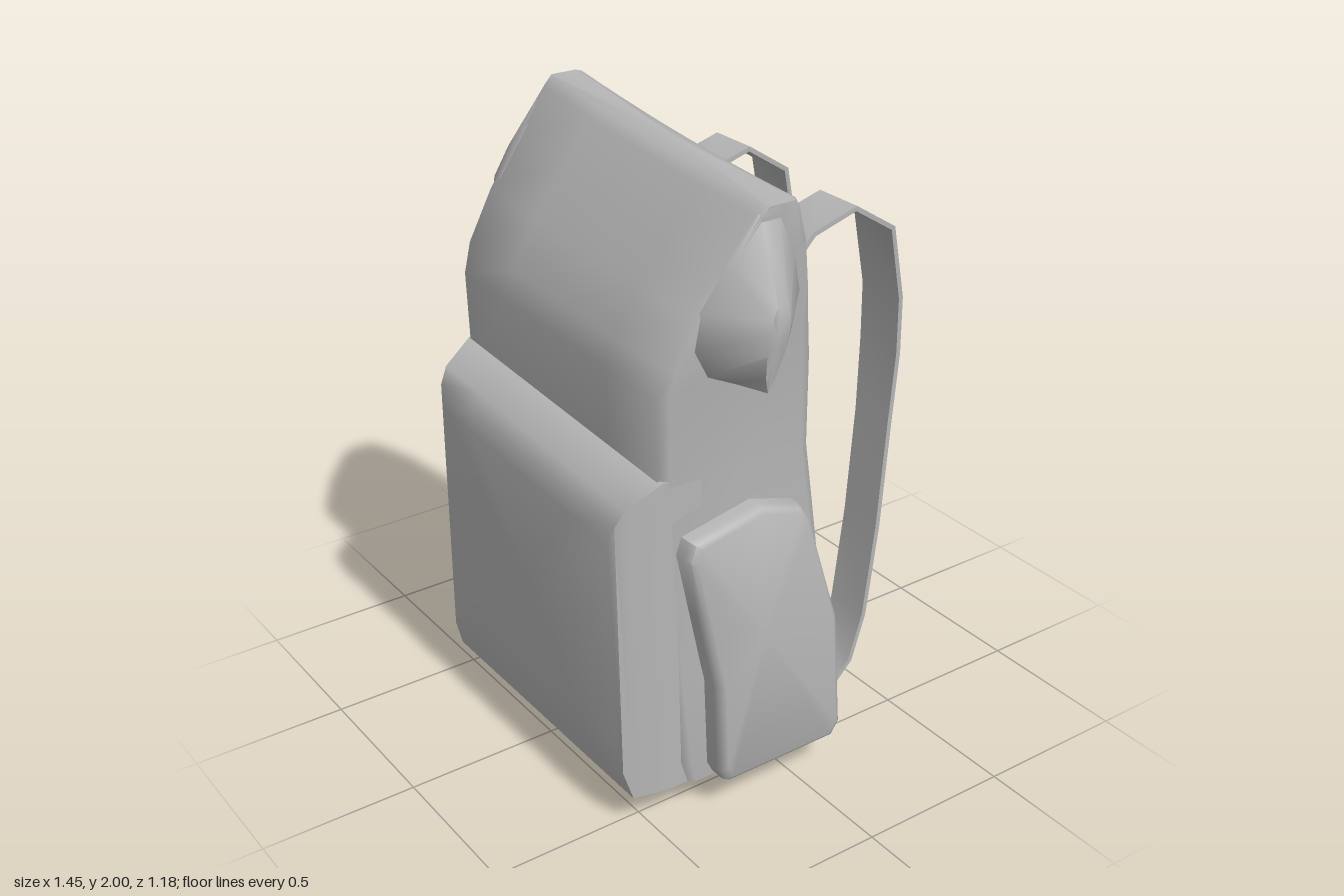
import * as THREE from 'three';
import { toCreasedNormals } from 'three/addons/utils/BufferGeometryUtils.js';

const canvas = new THREE.MeshStandardMaterial({ color: 0xb4b4b4 });
canvas.name = 'grey canvas';
canvas.side = THREE.DoubleSide;

// Closed skin through equal-length rings of [x, y, z], capped at both ends and facing outward.
function loft(rings, crease = 0.8) {
  const n = rings[0].length, last = rings.length - 1;
  const pos = rings.flat(2), index = [];
  for (let r = 0; r < last; r++) {
    for (let i = 0; i < n; i++) {
      const j = (i + 1) % n, a = r * n + i, b = r * n + j;
      index.push(a, b, b + n, a, b + n, a + n);
    }
  }
  for (const r of [0, last]) {
    const c = pos.length / 3;
    for (let k = 0; k < 3; k++) pos.push(rings[r].reduce((s, p) => s + p[k], 0) / n);
    for (let i = 0; i < n; i++) {
      const a = r * n + i, b = r * n + (i + 1) % n;
      index.push(...(r ? [c, a, b] : [c, b, a]));
    }
  }
  // The signed volume tells whether the faces point inward.
  const v = i => new THREE.Vector3().fromArray(pos, i * 3);
  let volume = 0;
  for (let i = 0; i < index.length; i += 3) {
    volume += v(index[i]).dot(v(index[i + 1]).cross(v(index[i + 2])));
  }
  if (volume < 0) index.reverse();
  const geo = new THREE.BufferGeometry();
  geo.setAttribute('position', new THREE.Float32BufferAttribute(pos, 3));
  geo.setIndex(index);
  return toCreasedNormals(geo, crease);
}

// Body: rows of y, left x, right x, front z, back z, depth of the hollow in the back
const bodyRows = [
  [0.105, -0.49, 0.59, 0.38, -0.22, 0.06],
  [0.18, -0.495, 0.59, 0.4, -0.24, 0.07],
  [0.5, -0.51, 0.57, 0.42, -0.195, 0.07],
  [0.8, -0.51, 0.56, 0.43, -0.16, 0.07],
  [1.1, -0.515, 0.55, 0.445, -0.12, 0.065],
  [1.42, -0.515, 0.56, 0.455, -0.105, 0.055],
  [1.52, -0.51, 0.57, 0.435, -0.085, 0.045],
  [1.68, -0.505, 0.58, 0.355, -0.055, 0.02],
  [1.84, -0.49, 0.6, 0.25, -0.015, 0],
  [1.97, -0.475, 0.61, 0.165, 0.02, 0],
  [2.0, -0.47, 0.61, 0.14, 0.035, 0],
];
// Outline as fractions of width and depth; a third value marks the hollow between and beside the pads
const bodyOutline = [
  [0, 0.95], [0.02, 1], [0.25, 1], [0.5, 1], [0.75, 1], [0.98, 1], [1, 0.95],
  [1, 0.5], [1, 0.12], [0.985, 0, 0.6], [0.92, 0, 0.4], [0.85, 0], [0.74, 0], [0.66, 0, 1],
  [0.53, 0, 1.1], [0.42, 0, 1], [0.35, 0], [0.2, 0], [0.1, 0, 0.4], [0.015, 0, 0.6], [0, 0.12], [0, 0.5],
];
function bodyGeometry() {
  return loft(bodyRows.map(([y, xl, xr, zf, zb, hollow]) => bodyOutline.map(([u, v, h = 0]) => {
    const t = Math.max(0, (y - 1.2) / 0.8);
    const sag = t * (0.1 * u + 0.06 * u * (1 - u));
    return [xl + (xr - xl) * u, y - sag, zb + (zf - zb) * v + hollow * h];
  })), 1.1);
}

// Front pocket: rows of z, left x, right x, bottom y, top y
function frontPocketGeometry() {
  const rows = [
    [0.31, -0.5, 0.55, 0.105, 1.19],
    [0.44, -0.505, 0.55, 0.105, 1.2],
    [0.55, -0.475, 0.525, 0.105, 1.135],
    [0.578, -0.462, 0.513, 0.2, 1.085],
    [0.588, -0.44, 0.49, 0.3, 1.02],
  ];
  return loft(rows.map(([z, xl, xr, yb, yt]) => {
    const ring = [];
    const steps = 5;
    for (let i = 0; i <= steps; i++) ring.push([xl + (xr + 0.025 - xl) * i / steps, yb, z]);
    for (let i = steps; i >= 0; i--) {
      const x = xl + (xr - xl) * i / steps;
      ring.push([x, yt - 0.06 * (x + 0.5), z]);
    }
    return ring;
  }), 0.75);
}

// Side pocket outline as [z, y]
const pocketOutline = [
  [0.29, 0.12], [0.31, 0.16], [0.31, 0.45], [0.36, 0.7], [0.4, 0.9], [0.38, 0.95], [0.14, 0.995],
  [-0.01, 0.95], [-0.04, 0.9], [-0.14, 0.54], [-0.15, 0.16], [-0.12, 0.12],
];
function sidePocketGeometry(side) {
  const face = y => side > 0 ? 0.67 - 0.05 * (y - 0.2) / 0.8 : 0.6;
  const rows = [[0.17, 1], [0.035, 1], [0.01, 0.965], [0, 0.9]];
  return loft(rows.map(([inset, s]) => pocketOutline.map(([z, y]) =>
    [side * (face(y) - inset), 0.55 + (y - 0.55) * (1 - (1 - s) * 0.5), 0.1 + (z - 0.1) * s])));
}

// Folded ear of the roll top: base on the body side, narrowing to an upright ridge
function earGeometry(side) {
  const base = [[0.16, 1.88], [0.09, 1.88], [0.03, 1.76], [0, 1.62], [0.02, 1.5], [0.1, 1.42],
    [0.2, 1.38], [0.3, 1.43], [0.35, 1.52], [0.335, 1.63], [0.25, 1.76]];
  const ridge = [[0.715, 1.66, 0.18], [0.715, 1.66, 0.15], [0.718, 1.63, 0.14], [0.715, 1.58, 0.14],
    [0.71, 1.52, 0.15], [0.695, 1.44, 0.17], [0.69, 1.4, 0.19], [0.7, 1.45, 0.205],
    [0.71, 1.52, 0.21], [0.718, 1.59, 0.21], [0.72, 1.63, 0.2]];
  const lift = side > 0 ? 0 : 0.08;
  const bodySide = y => side > 0 ? 0.565 + 0.07 * (y - 1.4) : -0.505 + 0.05 * (y - 1.4);
  return loft([
    base.map(([z, y]) => [bodySide(y) - side * 0.03, y + lift, z]),
    base.map(([z, y]) => [bodySide(y), y + lift, z]),
    ridge.map(([x, y, z]) => [side > 0 ? x : 0.085 - x, y + lift * 1.4, z]),
  ], 1);
}

// Shoulder strap loop as [z, y, sideways drift]
const strapPath = [
  [-0.05, 1.55, 0.01], [-0.1, 1.61, 0.01], [-0.2, 1.72, 0.01], [-0.355, 1.765, 0.01],
  [-0.52, 1.66, -0.01], [-0.58, 1.4, -0.025], [-0.582, 1.2, -0.025], [-0.56, 0.95, -0.015],
  [-0.52, 0.6, 0], [-0.48, 0.28, 0], [-0.43, 0.12, 0], [-0.36, 0.05, 0], [-0.22, 0.008, 0],
  [-0.13, 0.06, 0], [-0.1, 0.13, 0],
];
function strapGeometry(x, drop) {
  const pts = strapPath.map(([z, y, dx]) =>
    [x + dx, y - drop * Math.max(0, Math.min(1, (y - 1) / 0.7)), z]);
  return loft(pts.map(([px, y, z], i) => {
    const a = pts[Math.max(0, i - 1)], b = pts[Math.min(pts.length - 1, i + 1)];
    const dy = b[1] - a[1], dz = b[2] - a[2], len = Math.hypot(dy, dz);
    const ny = dz / len * 0.008, nz = -dy / len * 0.008;
    const w = y > 1.1 ? 0.085 : 0.077;
    return [[px - w, y + ny, z + nz], [px + w, y + ny, z + nz],
      [px + w, y - ny, z - nz], [px - w, y - ny, z - nz]];
  }), 1.1);
}

export function createModel() {
  const group = new THREE.Group();
  group.name = 'backpack';
  const add = (name, geometry) => {
    const mesh = new THREE.Mesh(geometry, canvas);
    mesh.name = name;
    group.add(mesh);
    return mesh;
  };
  add('body', bodyGeometry());
  add('frontPocket', frontPocketGeometry());
  for (const [side, label] of [[1, 'left'], [-1, 'right']]) {
    add(label + 'SidePocket', sidePocketGeometry(side));
    add(label + 'RollTopEar', earGeometry(side));
  }
  add('leftShoulderStrap', strapGeometry(0.303, 0.04));
  add('rightShoulderStrap', strapGeometry(-0.21, 0));

  // Small pull tab on the right ear
  const tab = add('pullTab', new THREE.BoxGeometry(0.13, 0.022, 0.045));
  tab.position.set(-0.67, 1.725, 0.125);
  tab.rotation.set(0, -0.12, 0.75);
  return group;
}
